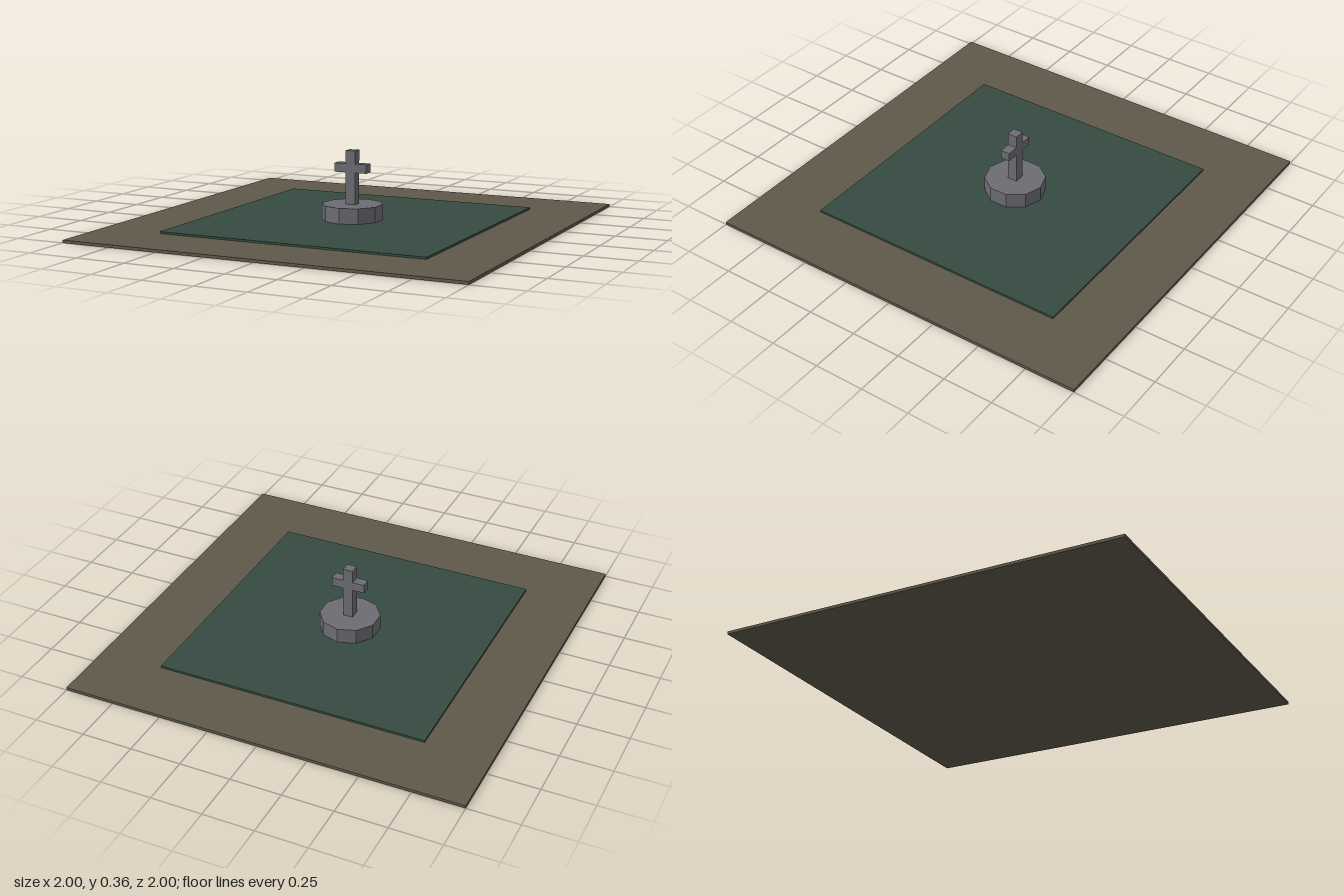
import * as THREE from 'three';

const flat = (name, color) => {
  const m = new THREE.MeshStandardMaterial({ color });
  m.name = name;
  return m;
};

export function createModel() {
  const group = new THREE.Group();
  group.name = 'courtyardMonument';
  const earth = flat('earthBrown', 0x5f594a);
  const grass = flat('darkGreen', 0x364b41);
  const stone = flat('stoneGrey', 0x6d6c72);

  // Adds a part standing between two heights, centred on the axis
  const add = (name, geometry, material, bottom, top, x = 0) => {
    const mesh = new THREE.Mesh(geometry, material);
    mesh.name = name;
    mesh.position.set(x, (bottom + top) / 2, 0);
    group.add(mesh);
  };
  const box = (name, w, d, material, bottom, top, x) =>
    add(name, new THREE.BoxGeometry(w, top - bottom, d), material, bottom, top, x);

  // Ground layers
  box('groundSlab', 2, 2, earth, 0, 0.014);
  box('lawn', 1.356, 1.356, grass, 0.014, 0.024);

  // Ten-sided plinth with flat faces, a corner facing front
  const plinth = new THREE.CylinderGeometry(0.15, 0.15, 0.077, 10).toNonIndexed();
  plinth.computeVertexNormals();
  add('plinth', plinth, stone, 0.023, 0.1);

  // Cross: a post and an arm on each side
  box('crossPost', 0.05, 0.05, stone, 0.1, 0.364);
  for (const side of [-1, 1]) {
    box(side > 0 ? 'leftArm' : 'rightArm', 0.06, 0.048, stone, 0.256, 0.3, side * 0.055);
  }
  return group;
}
